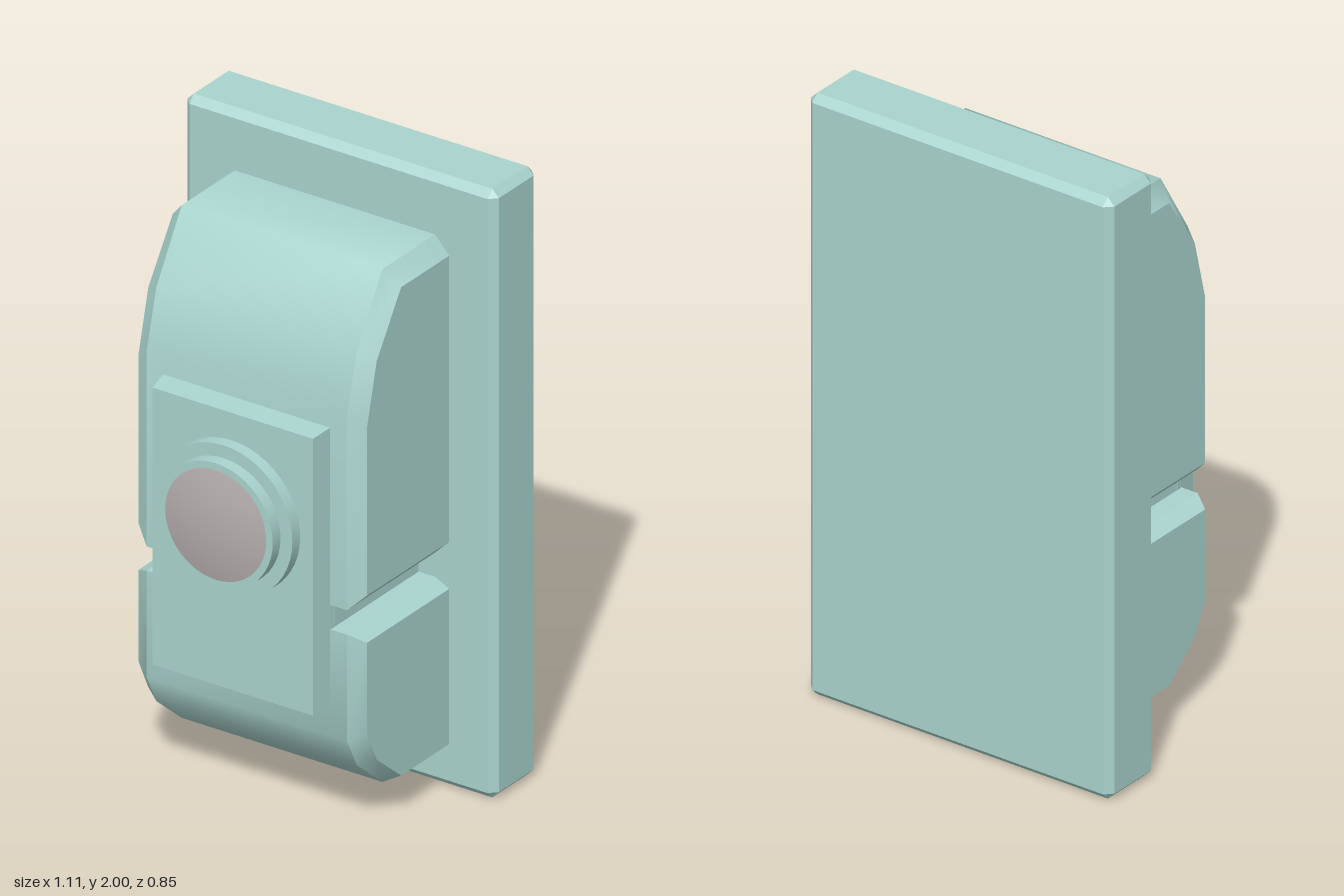
import * as THREE from 'three';
import { toCreasedNormals, mergeGeometries } from 'three/addons/utils/BufferGeometryUtils.js';
import { ConvexGeometry } from 'three/addons/geometries/ConvexGeometry.js';

const CX = -0.0125; // the housing sits slightly off the plate's centre line

// Box with every edge cut by c
function chamferedBox(w, h, d, c) {
  const pts = [];
  for (const x of [-1, 1]) for (const y of [-1, 1]) for (const z of [-1, 1]) {
    const a = x * w / 2, b = y * h / 2, e = z * d / 2;
    pts.push(new THREE.Vector3(a, b - y * c, e - z * c),
      new THREE.Vector3(a - x * c, b, e - z * c),
      new THREE.Vector3(a - x * c, b - y * c, e));
  }
  return new ConvexGeometry(pts);
}

// Convex side profile [z, y] swept across x, narrowing to the inner profile at both sides
function shell(outer, inner) {
  const n = outer.length;
  const loops = [[-0.407, inner], [-0.357, outer], [0.357, outer], [0.407, inner]]
    .map(([x, p]) => p.map(([z, y]) => [x + CX, y, z]));
  const toGeometry = (tris, crease) => {
    const g = new THREE.BufferGeometry();
    g.setAttribute('position', new THREE.Float32BufferAttribute(tris.flat(), 3));
    return toCreasedNormals(g, crease);
  };
  const parts = [];
  for (let k = 0; k < 3; k++) {
    const tris = [];
    for (let i = 0; i < n; i++) {
      const j = (i + 1) % n;
      const a = loops[k][i], b = loops[k][j], c = loops[k + 1][j], d = loops[k + 1][i];
      tris.push(a, d, c, a, c, b);
    }
    parts.push(toGeometry(tris, 1.06));
  }
  const caps = [];
  for (let i = 1; i < n - 1; i++) {
    caps.push(loops[0][0], loops[0][i], loops[0][i + 1]);
    caps.push(loops[3][0], loops[3][i + 1], loops[3][i]);
  }
  parts.push(toGeometry(caps, 0.1));
  return mergeGeometries(parts);
}

export function createModel() {
  const group = new THREE.Group();
  const body = new THREE.MeshStandardMaterial({ color: 0xa9d3cd });
  const grey = new THREE.MeshStandardMaterial({ color: 0xb5adad });
  const add = (name, geometry, material = body, x = 0, y = 0, z = 0) => {
    const mesh = new THREE.Mesh(geometry, material);
    mesh.name = name;
    mesh.position.set(x, y, z);
    group.add(mesh);
    return mesh;
  };

  // Wall plate
  add('backPlate', chamferedBox(1.11, 2, 0.225, 0.024), body, 0, 1, -0.3125);

  // Two rounded housings with a slot between them
  add('upperHousing', shell(
    [[-0.2, 0.76], [0.25, 0.76], [0.25, 1.4], [0.2, 1.59], [0.07, 1.805], [-0.2, 1.805]],
    [[-0.2, 0.81], [0.22, 0.81], [0.22, 1.36], [0.17, 1.56], [0.045, 1.75], [-0.2, 1.75]]));
  add('lowerHousing', shell(
    [[-0.2, 0.12], [0.07, 0.12], [0.2, 0.23], [0.25, 0.33], [0.25, 0.68], [-0.2, 0.68]]
      .reverse().map((p, i, a) => a[(a.length - i) % a.length]).map((p, i, a) => a[(i + 5) % 6]),
    [[-0.2, 0.145], [0.045, 0.145], [0.17, 0.25], [0.22, 0.355], [0.22, 0.655], [-0.2, 0.655]]
      .reverse().map((p, i, a) => a[(a.length - i) % a.length]).map((p, i, a) => a[(i + 5) % 6])));

  // Block filling the slot behind the button panel
  add('slotCore', new THREE.BoxGeometry(0.597, 0.3, 0.45), body, CX, 0.72, 0.02);

  // Slightly tapered button panel
  const panel = [];
  for (const sx of [-1, 1]) for (const sy of [-1, 1]) {
    panel.push(new THREE.Vector3(sx * 0.3, sy * 0.467, 0.23),
      new THREE.Vector3(sx * 0.286, sy * 0.455, 0.322));
  }
  add('buttonPanel', new ConvexGeometry(panel), body, CX, 0.878, 0);

  // Stepped round bezel
  const disc = (name, r, z0, z1) => {
    const g = toCreasedNormals(new THREE.CylinderGeometry(r, r, z1 - z0, 48), 0.6);
    add(name, g.rotateX(Math.PI / 2), body, -0.015, 1, (z0 + z1) / 2);
  };
  disc('bezelBase', 0.245, 0.325, 0.365);
  disc('bezelRing', 0.203, 0.315, 0.405);

  // Shallow domed button
  const dome = [];
  for (let i = 0; i <= 8; i++) {
    const r = 0.18 * (1 - i / 8);
    dome.push(new THREE.Vector2(r, 0.405 + 0.02 * (1 - (r / 0.18) ** 2)));
  }
  add('button', new THREE.LatheGeometry(dome, 48).rotateX(Math.PI / 2), grey, -0.015, 1, 0);

  return group;
}
